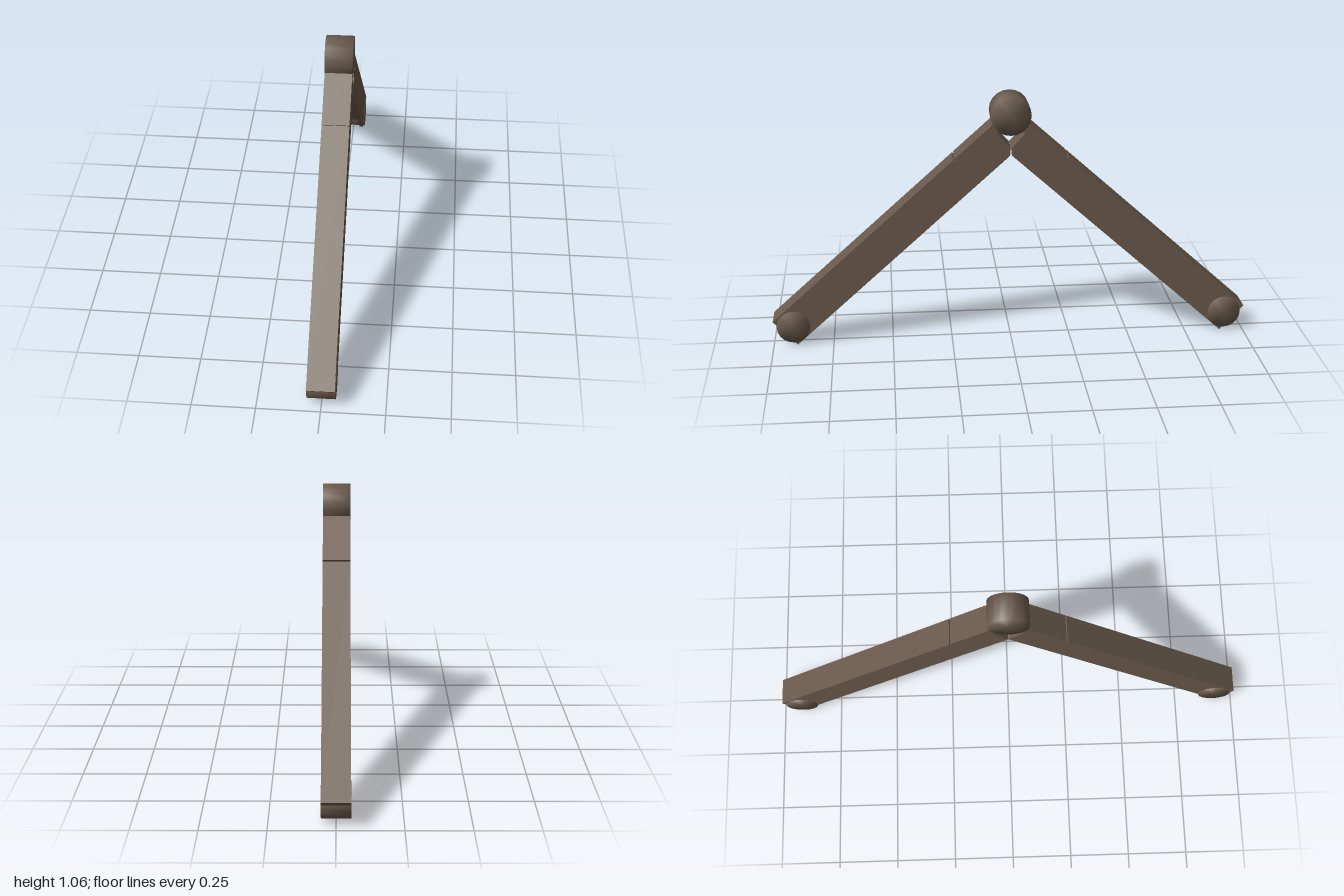
import * as THREE from 'three';
import { mergeVertices } from 'three/addons/utils/BufferGeometryUtils.js';

const brown = new THREE.MeshStandardMaterial({ color: 0x6a5a4c });
const HALF = 0.055; // half width of the stand
const LENGTH = 1.231; // arm length
const DEPTH = 0.127; // arm thickness

// Arm coordinates (s up the arm, t outward from its underside) to the z-y plane
const armPoint = (s, t, side) =>
  new THREE.Vector2(side * (0.915 - 0.743 * s + 0.669 * t), 0.016 + 0.669 * s + 0.743 * t);

// Extrudes an arm profile across x, from x0 to x1
function slab(name, points, side, x0, x1) {
  const shape = new THREE.Shape(points.map(([s, t]) => armPoint(s, t, side)));
  const geometry = new THREE.ExtrudeGeometry(shape, { depth: x1 - x0, bevelEnabled: false });
  geometry.rotateY(-Math.PI / 2).translate(x1, 0, 0);
  const mesh = new THREE.Mesh(geometry, brown);
  mesh.name = name;
  return mesh;
}

// Roller lying across x, with normals blended over its rims
function roller(name, radius, halfWidth, y, z) {
  let geometry = new THREE.CylinderGeometry(radius, radius, halfWidth * 2, 20);
  geometry.deleteAttribute('normal');
  geometry.deleteAttribute('uv');
  geometry = mergeVertices(geometry);
  geometry.computeVertexNormals();
  geometry.rotateZ(Math.PI / 2);
  const mesh = new THREE.Mesh(geometry, brown);
  mesh.name = name;
  mesh.position.set(0, y, z);
  return mesh;
}

function createArm(name, side) {
  const arm = new THREE.Group();
  arm.name = name;

  // Long bar with a narrow seam groove across its outer face
  arm.add(slab('bar', [
    [0, 0], [LENGTH, 0], [LENGTH, DEPTH],
    [1.034, DEPTH], [1.034, DEPTH - 0.008], [1.028, DEPTH - 0.008], [1.028, DEPTH],
    [0, DEPTH],
  ], side, -HALF, HALF));

  // Lug that reaches into the hinge
  arm.add(slab('hingeLug', [
    [LENGTH, 0.087], [LENGTH + 0.05, 0.087], [LENGTH + 0.05, DEPTH], [LENGTH, DEPTH],
  ], side, -HALF, HALF));

  // Slim rail along the left edge of the underside
  arm.add(slab('undersideRail', [
    [0, -0.021], [1.207, -0.021], [1.231, 0.001], [0, 0.001],
  ], side, 0.03, 0.049));

  // Rounded foot
  arm.add(roller('foot', 0.07, HALF + 0.0005, 0.085, side * 0.915));
  return arm;
}

export function createModel() {
  const model = new THREE.Group();
  model.name = 'foldingStand';
  model.add(createArm('frontArm', 1), createArm('backArm', -1));
  model.add(roller('hinge', 0.083, HALF + 0.0005, 0.977, 0));
  return model;
}
